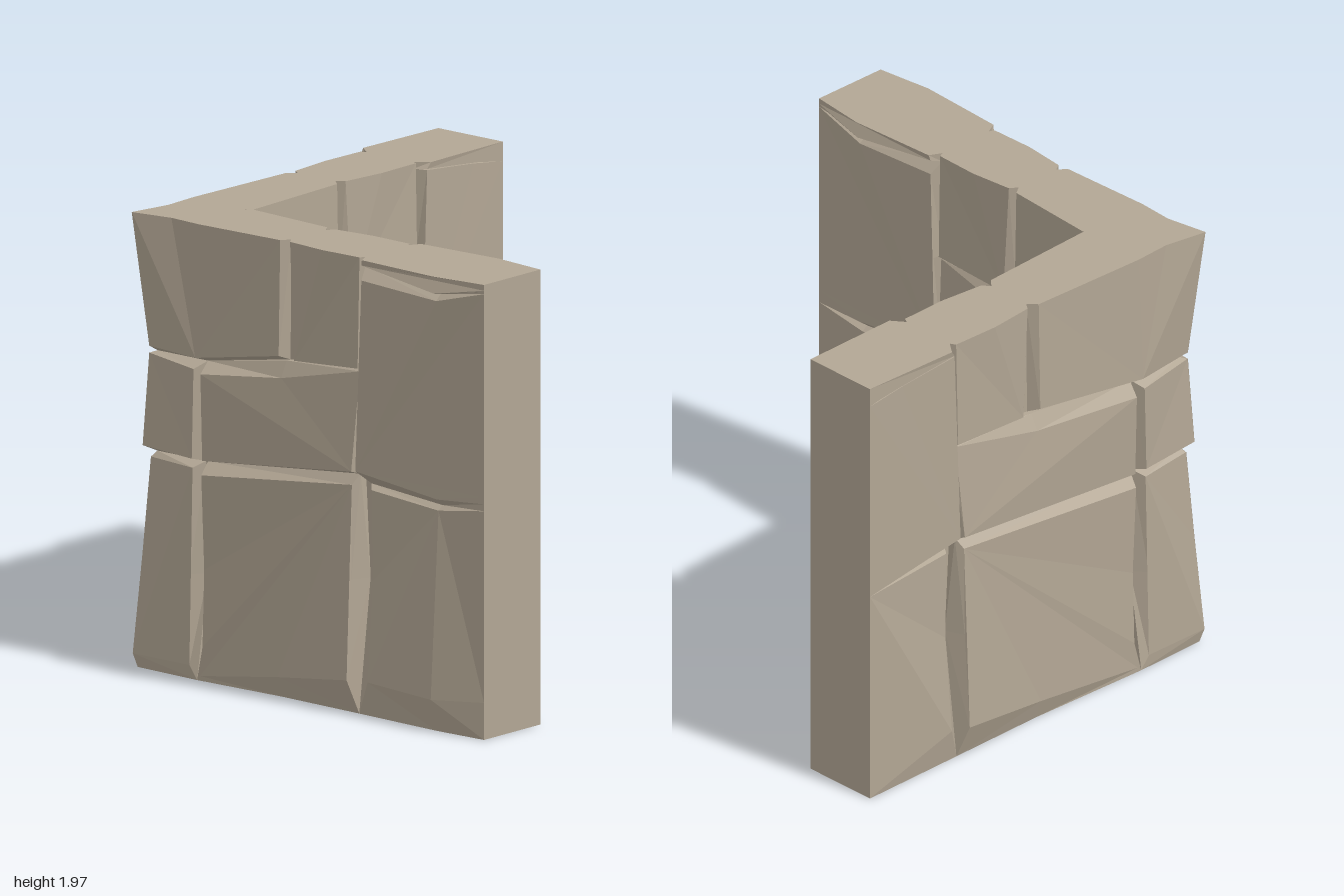
import * as THREE from 'three';

const H = 1.97;
const GROOVE = -0.07; // depth of the joints between stones
const stone = new THREE.MeshStandardMaterial({ color: 0xb2a694 });
stone.name = 'warm grey stone';

// Side wall uses the same stone layout, shifted along its length
function warp(u) {
  const from = [-0.96, -0.6, 0, 0.475, 0.99];
  const to = [-0.95, -0.6, -0.14, 0.3, 1.0];
  let i = 0;
  while (i < 3 && u > from[i + 1]) i++;
  return to[i] + (u - from[i]) / (from[i + 1] - from[i]) * (to[i + 1] - to[i]);
}

// The four wall faces: u runs along the wall, d points out of it
const faces = [
  { name: 'backWallInner', outer: false, side: false, flip: false, at: (u, y, d) => [u, y, -0.6 + d] },
  { name: 'backWallOuter', outer: true, side: false, flip: true, at: (u, y, d) => [u, y, -0.95 - d] },
  { name: 'sideWallInner', outer: false, side: true, flip: true, at: (u, y, d) => [-0.6 + d, y, warp(u)] },
  { name: 'sideWallOuter', outer: true, side: true, flip: false, at: (u, y, d) => [-0.96 - d, y, warp(u)] },
];

// Stone from a loop of [u, y, depth, footU, footY, footDepth]; the first point is the hub of the facets
function stoneBlock(name, face, loop) {
  const rings = [
    loop.map(p => face.at(p[0], p[1], p[2])),
    loop.map(p => face.at(p[3], p[4], p[5] ?? GROOVE)),
    loop.map(p => face.at(p[3], p[4], -0.1)),
  ];
  const pos = [];
  const tri = (a, b, c) => pos.push(...a, ...(face.flip ? c : b), ...(face.flip ? b : c));
  const n = loop.length;
  for (let i = 1; i < n - 1; i++) tri(rings[0][0], rings[0][i], rings[0][i + 1]);
  for (let r = 0; r < 2; r++) {
    for (let i = 0; i < n; i++) {
      const j = (i + 1) % n;
      const a = rings[r], b = rings[r + 1];
      tri(a[i], b[i], b[j]);
      tri(a[i], b[j], a[j]);
    }
  }
  const g = new THREE.BufferGeometry();
  g.setAttribute('position', new THREE.Float32BufferAttribute(pos, 3));
  g.computeVertexNormals();
  const mesh = new THREE.Mesh(g, stone);
  mesh.name = name;
  return mesh;
}

// Point on the outer corner edge, worn back by c on both faces
const worn = (y, c, footY, footU = -0.89, footD = GROOVE) => [-0.96 + c, y, -c, footU, footY, footD];

function stonesFor({ outer, side }) {
  const stones = {
    lowerLargeStone: [
      [0.435, 0.985, 0, 0.455, 1.03, -0.035], [-0.57, 0.89, 0, -0.6, 0.935], [-0.56, 0.48, -0.01, -0.6, 0.48],
      [-0.555, 0.15, 0.005, -0.59, 0.12], [-0.58, 0.02, 0, outer ? -0.6 : -0.67, 0, 0],
      [0, 0.09, 0.015, 0, 0, -0.015], [0.45, 0.15, 0.05, 0.475, 0, -0.005], [0.445, 0.58, 0.015, 0.48, 0.58],
    ],
    middleStone: [
      [0.44, 1.045, 0.01, 0.455, 1.03, -0.035], [0.46, 1.475, -0.025, 0.472, 1.49, -0.045],
      [0, 1.38, -0.01, 0, 1.45, -0.045], [-0.565, 1.33, 0.01, -0.6, 1.37], [-0.575, 0.95, -0.01, -0.6, 0.935],
    ],
    upperCornerStone: outer
      ? [[-0.62, 1.39, -0.01, -0.62, 1.37], [-0.03, 1.47, -0.02, 0, 1.45], [-0.03, H, -0.03, 0.005, H],
        [-0.6, H, -0.015, -0.6, H], [-0.77, H, -0.025, -0.77, H], worn(H, -0.008, H), worn(1.39, 0.045, 1.37)]
      : [[-0.03, 1.47, -0.02, 0, 1.45], [-0.03, H, -0.03, 0.005, H],
        [-0.6, H, 0, -0.67, H], [-0.6, 1.39, 0, -0.67, 1.37]],
    upperMiddleStone: [
      [0.06, 1.46, -0.03, 0.02, 1.45], [0.46, 1.49, -0.01, 0.472, 1.49, -0.045], [0.462, H, -0.02, 0.475, H, -0.045],
      [0.24, H, -0.015, 0.24, H], [0.03, H, -0.035, 0.005, H],
    ],
  };
  // End stones: joints fade out toward the flat wall ends
  if (side) {
    stones.upperEndStone = [
      [0.465, 1.05, 0.01, 0.49, 0.99, -0.06], [0.8, 1.0, 0.005, 0.8, 0.97, -0.03], [0.99, 1.05, 0, 0.99, 1.02, 0],
      [0.99, 1.93, 0, 0.99, 1.94, 0], [0.8, 1.86, 0.01, 0.8, 1.885, -0.02], [0.49, 1.88, 0.005, 0.475, 1.93, -0.045],
      [0.48, 1.48, 0, 0.472, 1.48, -0.045],
    ];
    stones.topEndSliver = [
      [0.49, 1.945, 0.005, 0.475, 1.93, -0.045], [0.8, 1.895, 0.025, 0.8, 1.885, -0.02], [0.99, 1.945, 0, 0.99, 1.94, 0],
      [0.99, H, 0, 0.99, H, 0], [0.8, H, 0.03, 0.8, H], [0.495, H, 0.01, 0.475, H, -0.045],
    ];
    stones.lowerEndStone = [
      [0.8, 0.95, -0.005, 0.8, 0.97, -0.03], [0.51, 0.97, -0.03, 0.49, 0.99, -0.06], [0.52, 0.58, -0.02, 0.48, 0.58],
      [0.525, 0.15, 0.02, 0.475, 0, -0.005], [0.8, 0.14, 0.045, 0.8, 0, 0.01],
      [0.99, 0.16, 0, 0.99, 0, 0], [0.99, 0.99, 0, 0.99, 1.02, 0],
    ];
  } else {
    stones.upperEndStone = [
      [0.465, 1.05, 0.01, 0.49, 0.985, -0.06], [0.99, 0.98, 0.005, 0.99, 0.975, 0.005],
      [0.99, 1.885, 0.005, 0.99, 1.89, 0.005], [0.8, 1.91, 0.005, 0.8, 1.912, -0.01],
      [0.5, 1.938, 0.01, 0.475, 1.94, -0.045], [0.48, 1.48, 0, 0.472, 1.48, -0.045],
    ];
    stones.topEndSliver = [
      [0.5, 1.943, 0.01, 0.475, 1.94, -0.045], [0.8, 1.915, 0.008, 0.8, 1.912, -0.01],
      [0.99, 1.895, 0.005, 0.99, 1.89, 0.005], [0.99, H, 0.005, 0.99, H, 0.005], [0.52, H, 0.015, 0.475, H, -0.045],
    ];
    stones.lowerEndStone = [
      [0.99, 0.97, 0.005, 0.99, 0.975, 0.005], [0.505, 0.975, -0.035, 0.49, 0.985, -0.06],
      [0.52, 0.58, -0.025, 0.48, 0.58], [0.525, 0.15, 0.02, 0.475, 0, -0.005], [0.99, 0.12, 0.005, 0.99, 0, 0.005],
    ];
  }
  // Quoin stones on the outside of the corner
  if (outer) {
    stones.middleQuoin = [
      [-0.64, 0.95, -0.01, -0.61, 0.935], [-0.63, 1.34, -0.01, -0.6, 1.37],
      worn(1.36, 0.045, 1.37), worn(0.96, 0.025, 0.935),
    ];
    stones.lowerQuoin = [
      [-0.64, 0.91, -0.015, -0.61, 0.935], worn(0.91, 0.05, 0.935), worn(0.5, 0.025, 0.5),
      worn(0.06, -0.005, 0, -0.95, -0.01), [-0.64, 0.06, 0.005, -0.6, 0, 0], [-0.65, 0.45, -0.005, -0.6, 0.45],
    ];
  }
  return stones;
}

export function createModel() {
  const model = new THREE.Group();
  model.name = 'stoneWallCorner';

  // L-shaped core behind the joints (shape y is -z)
  const plan = new THREE.Shape([
    [-0.89, -1.0], [-0.67, -1.0], [-0.67, 0.67], [0.99, 0.67], [0.99, 0.88], [-0.89, 0.88],
  ].map(p => new THREE.Vector2(...p)));
  const coreGeo = new THREE.ExtrudeGeometry(plan, { depth: H, bevelEnabled: false });
  coreGeo.rotateX(-Math.PI / 2);
  const core = new THREE.Mesh(coreGeo, stone);
  core.name = 'wallCore';
  model.add(core);

  // Faceted stones on every wall face
  for (const face of faces) {
    const wall = new THREE.Group();
    wall.name = face.name;
    for (const [name, loop] of Object.entries(stonesFor(face))) wall.add(stoneBlock(name, face, loop));
    model.add(wall);
  }
  return model;
}
